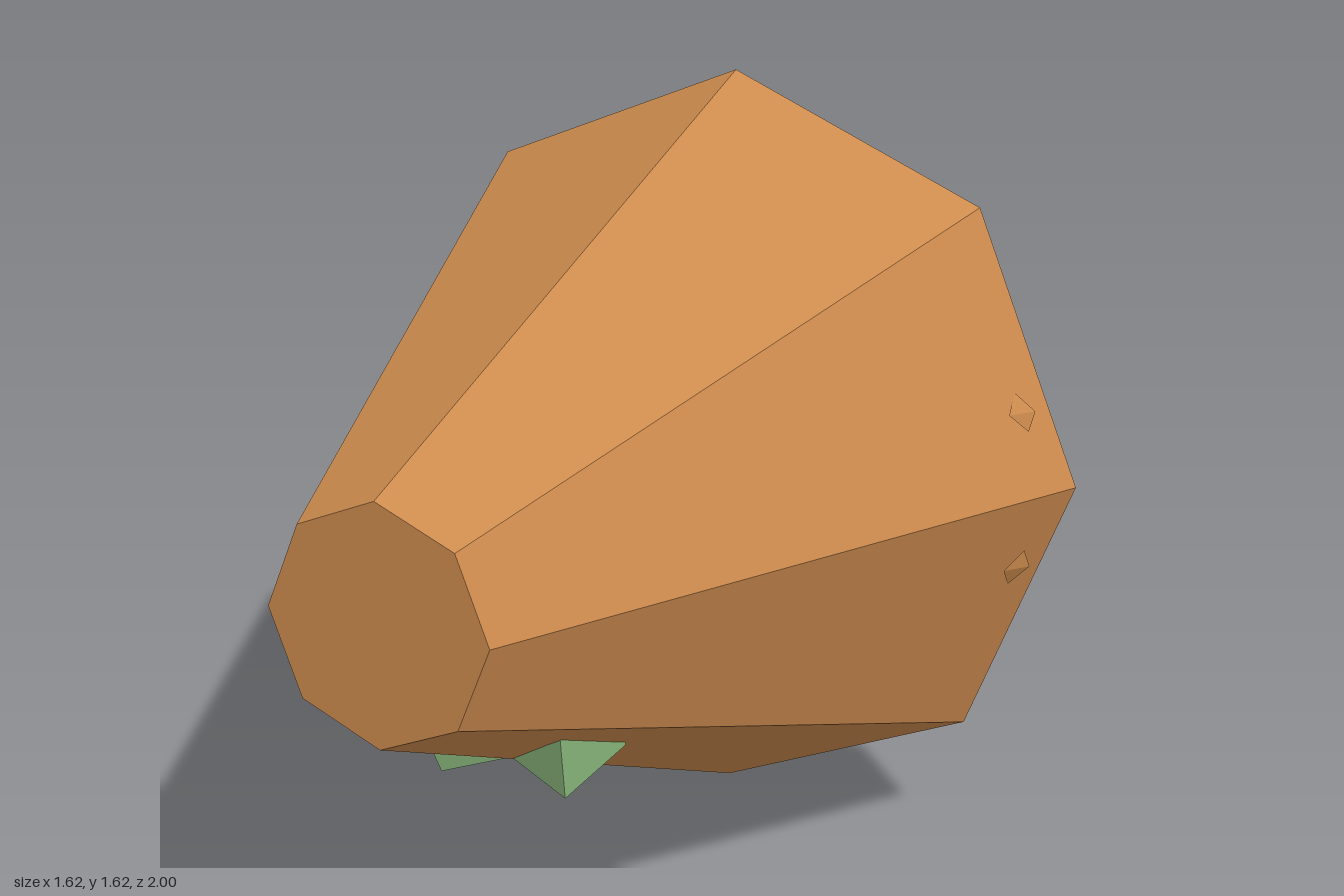
import * as THREE from 'three';
import { ConvexGeometry } from 'three/addons/geometries/ConvexGeometry.js';

const MID = 0.815; // height of the body's axis

export function createModel() {
  const model = new THREE.Group();
  model.name = 'model';
  const bark = new THREE.MeshStandardMaterial({ color: 0xcd8b4e, flatShading: true });
  bark.name = 'bark orange';
  const leaf = new THREE.MeshStandardMaterial({ color: 0x94c486, flatShading: true });
  leaf.name = 'leaf green';

  const add = (name, geometry, material) => {
    const mesh = new THREE.Mesh(geometry, material);
    mesh.name = name;
    model.add(mesh);
    return mesh;
  };
  // Faceted solid through a few corners, optionally mirrored across x or the axis height
  const solid = (name, corners, material, sx = 1, flipY = false) => {
    const pts = corners.map(([x, y, z]) => new THREE.Vector3(x * sx, flipY ? 2 * MID - y : y, z));
    return add(name, new ConvexGeometry(pts), material);
  };

  // Tapered eight-sided body, narrow end forward
  const body = new THREE.CylinderGeometry(0.245, 0.81, 1.42, 8);
  body.rotateX(Math.PI / 2);
  body.translate(0, MID, 0.29);
  add('body', body, bark);

  // Faceted dome on the back: upper rows as half widths and depths, mirrored below
  const rows = [
    { y: 1.33, x: [0, 0.22, 0.32], z: [-0.42, -0.42, -0.42] },
    { y: 1.26, x: [0, 0.31, 0.38], z: [-0.555, -0.5, -0.42] },
    { y: 0.985, x: [0, 0.52, 0.66], z: [-0.68, -0.58, -0.42] },
  ];
  const grid = [...rows, ...rows.map((r) => ({ ...r, y: 2 * MID - r.y })).reverse()];
  const positions = [];
  const index = [];
  grid.forEach((row, r) => {
    for (let c = -2; c <= 2; c++) {
      const k = Math.abs(c);
      positions.push(Math.sign(c) * row.x[k], row.y, row.z[k]);
      if (r < grid.length - 1 && c < 2) {
        const a = r * 5 + c + 2;
        index.push(a, a + 1, a + 5, a + 1, a + 6, a + 5);
      }
    }
  });
  const dome = new THREE.BufferGeometry();
  dome.setAttribute('position', new THREE.Float32BufferAttribute(positions, 3));
  dome.setIndex(index);
  dome.computeVertexNormals();
  add('rearDome', dome, bark);

  // Central rear leaf bud: blunt four-sided pyramid
  const bud = new THREE.CylinderGeometry(0.035, 0.288, 0.245, 4);
  bud.rotateX(-Math.PI / 2);
  bud.translate(0, 0.888, -0.8775);
  add('centreBud', bud, leaf);

  for (const side of [1, -1]) {
    // Outer rear buds, tilted and turned outward
    const base = [[0.43, 1.04, -0.612], [0.55, 0.71, -0.583], [0.23, 0.59, -0.665], [0.11, 0.92, -0.7]];
    const centre = [0.33, 0.815, -0.64];
    const tip = [0.38, 0.825, -0.837];
    const tips = base.map((p) => p.map((v, i) => tip[i] + (v - centre[i]) * 0.125));
    solid('sideBud', [...base, ...tips], leaf, side);

    // Bow-like pair of leaves under the front
    solid('lowerLeaf', [[0.17, 0.49, 0.625], [0.145, 0.34, 0.565], [0.19, 0.405, 0.4],
      [0.215, 0.555, 0.46], [0, 0.387, 0.53]], leaf, side);

    // Tiny thorns on the flanks
    for (const flip of [false, true]) {
      solid('thorn', [[0.735, 0.985, -0.365], [0.695, 1.025, -0.345], [0.73, 0.945, -0.345],
        [0.7, 0.985, -0.31], [0.72, 0.985, -0.375]], bark, side, flip);
    }
  }
  return model;
}
